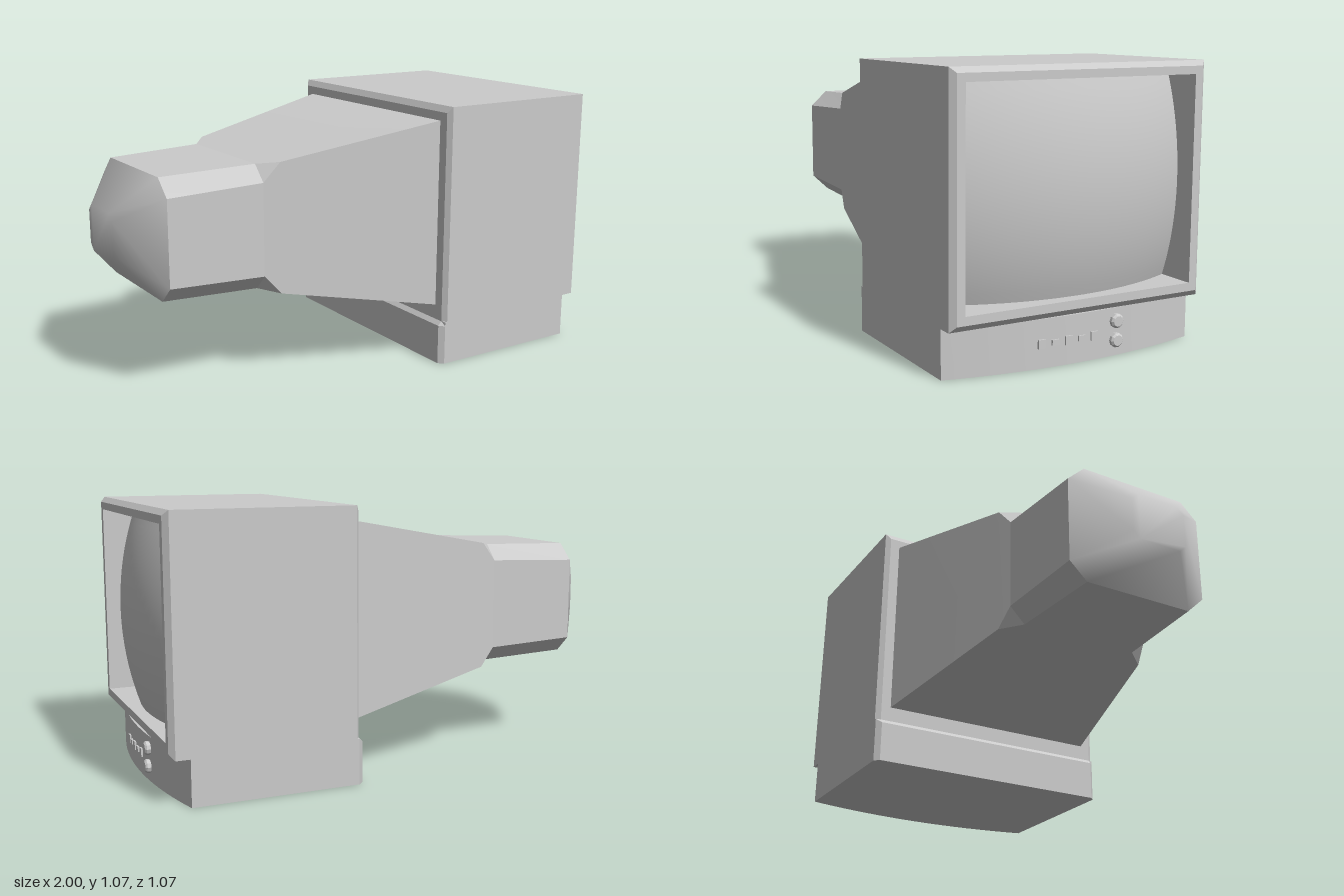
import * as THREE from 'three';
import { toCreasedNormals } from 'three/addons/utils/BufferGeometryUtils.js';

const material = new THREE.MeshStandardMaterial({ color: 0xcccccc });

// Skin rings of [x, y, z] points; rings run toward +x, points run from -z over the top to +z
function loft(rings, capStart, capEnd, crease = 0.3) {
  const pos = [];
  const tri = (a, b, c) => pos.push(...a, ...b, ...c);
  for (let i = 0; i < rings.length - 1; i++) {
    const r = rings[i], s = rings[i + 1], n = r.length;
    for (let j = 0; j < n; j++) {
      const k = (j + 1) % n;
      tri(r[j], r[k], s[k]);
      tri(r[j], s[k], s[j]);
    }
  }
  const cap = (r, flip) => {
    for (let j = 1; j < r.length - 1; j++) flip ? tri(r[0], r[j + 1], r[j]) : tri(r[0], r[j], r[j + 1]);
  };
  if (capStart) cap(rings[0], true);
  if (capEnd) cap(rings[rings.length - 1], false);
  const g = new THREE.BufferGeometry();
  g.setAttribute('position', new THREE.Float32BufferAttribute(pos, 3));
  g.computeVertexNormals();
  return toCreasedNormals(g, crease);
}

const rect = (x, y0, y1, z) => [[x, y0, -z], [x, y1, -z], [x, y1, z], [x, y0, z]];

// Rectangle with cut corners
const octagon = (x, y0, y1, z, cy, cz) => [
  [x, y0, cz - z], [x, y0 + cy, -z], [x, y1 - cy, -z], [x, y1, cz - z],
  [x, y1, z - cz], [x, y1 - cy, z], [x, y0 + cy, z], [x, y0, z - cz],
];

export function createModel() {
  const model = new THREE.Group();
  const add = (name, geometry, parent = model) => {
    const mesh = new THREE.Mesh(geometry, material);
    mesh.name = name;
    parent.add(mesh);
    return mesh;
  };

  // Box housing with bevelled edges, front frame and screen recess
  add('housing', loft([
    rect(0.245, 0.18, 1.04, 0.513),
    rect(0.26, 0.18, 1.065, 0.533),
    rect(0.965, 0.18, 1.065, 0.533),
    rect(0.985, 0.203, 1.045, 0.512),
    rect(0.985, 0.235, 1.015, 0.48),
    rect(0.82, 0.235, 1.015, 0.48),
  ], true, false));

  // Bulging screen glass on a sphere
  const R = 1.2;
  const glass = new THREE.PlaneGeometry(0.96, 0.78, 24, 20);
  glass.rotateY(Math.PI / 2);
  const gp = glass.attributes.position;
  for (let i = 0; i < gp.count; i++) {
    const y = gp.getY(i), z = gp.getZ(i);
    gp.setX(i, 1 - R + Math.sqrt(R * R - y * y - z * z));
  }
  glass.computeVertexNormals();
  glass.translate(0, 0.625, 0);
  add('screen', glass);

  // Tapering rear casing, its corners cut toward the tail
  const tail = octagon(-0.86, 0.385, 0.86, 0.297, 0.067, 0.072);
  add('rearCasing', loft([
    tail,
    octagon(-0.47, 0.377, 0.872, 0.312, 0.063, 0.062),
    octagon(-0.405, 0.365, 0.885, 0.328, 0, 0),
    octagon(0.25, 0.24, 1.006, 0.473, 0, 0),
  ], false, false, 0.15));

  // Softly shaded end of the casing
  const tip = tail.map(([, y, z]) => [-1, 0.623 + (y - 0.623) * 0.39, z * 0.39]);
  add('rearCap', loft([tip, tail], true, false, 1.1));

  // Base with bowed front and cut rear corners
  const plan = new THREE.Shape();
  plan.moveTo(0.91, -0.533);
  plan.quadraticCurveTo(1.04, 0, 0.91, 0.533);
  plan.lineTo(0.25, 0.533);
  plan.lineTo(0.23, 0.513);
  plan.lineTo(0.23, -0.513);
  plan.lineTo(0.25, -0.533);
  plan.closePath();
  const base = new THREE.ExtrudeGeometry(plan, { depth: 0.18, steps: 2, bevelEnabled: false, curveSegments: 16 });
  base.rotateX(-Math.PI / 2);
  const bp = base.attributes.position;
  for (let i = 0; i < bp.count; i++) {
    const y = bp.getY(i);
    if (y > 0.05 && y < 0.12) bp.setY(i, 0.163);
    if (y > 0.12 && bp.getX(i) < 0.24) bp.setX(i, 0.245);
  }
  base.computeVertexNormals();
  add('base', toCreasedNormals(base, 0.3));

  // Controls on the base front
  const controls = new THREE.Group();
  controls.name = 'controls';
  model.add(controls);
  const frontX = (z) => 0.975 - 0.065 * (z / 0.533) ** 2;
  for (let i = 0; i < 5; i++) {
    const z = 0.165 - i * 0.055;
    const button = add('button', new THREE.BoxGeometry(0.02, i % 2 ? 0.02 : 0.033, 0.03), controls);
    button.position.set(frontX(z) - 0.003, 0.09, z);
  }
  const profile = [[0, 0.02], [0.02, 0.02], [0.027, 0.013], [0.027, -0.01]]
    .reverse().map(([r, h]) => new THREE.Vector2(r, h));
  for (const y of [0.06, 0.132]) {
    const knob = add('knob', toCreasedNormals(new THREE.LatheGeometry(profile, 10), 0.3), controls);
    knob.rotation.z = -Math.PI / 2;
    knob.position.set(frontX(0.153), y, -0.153);
  }
  return model;
}
